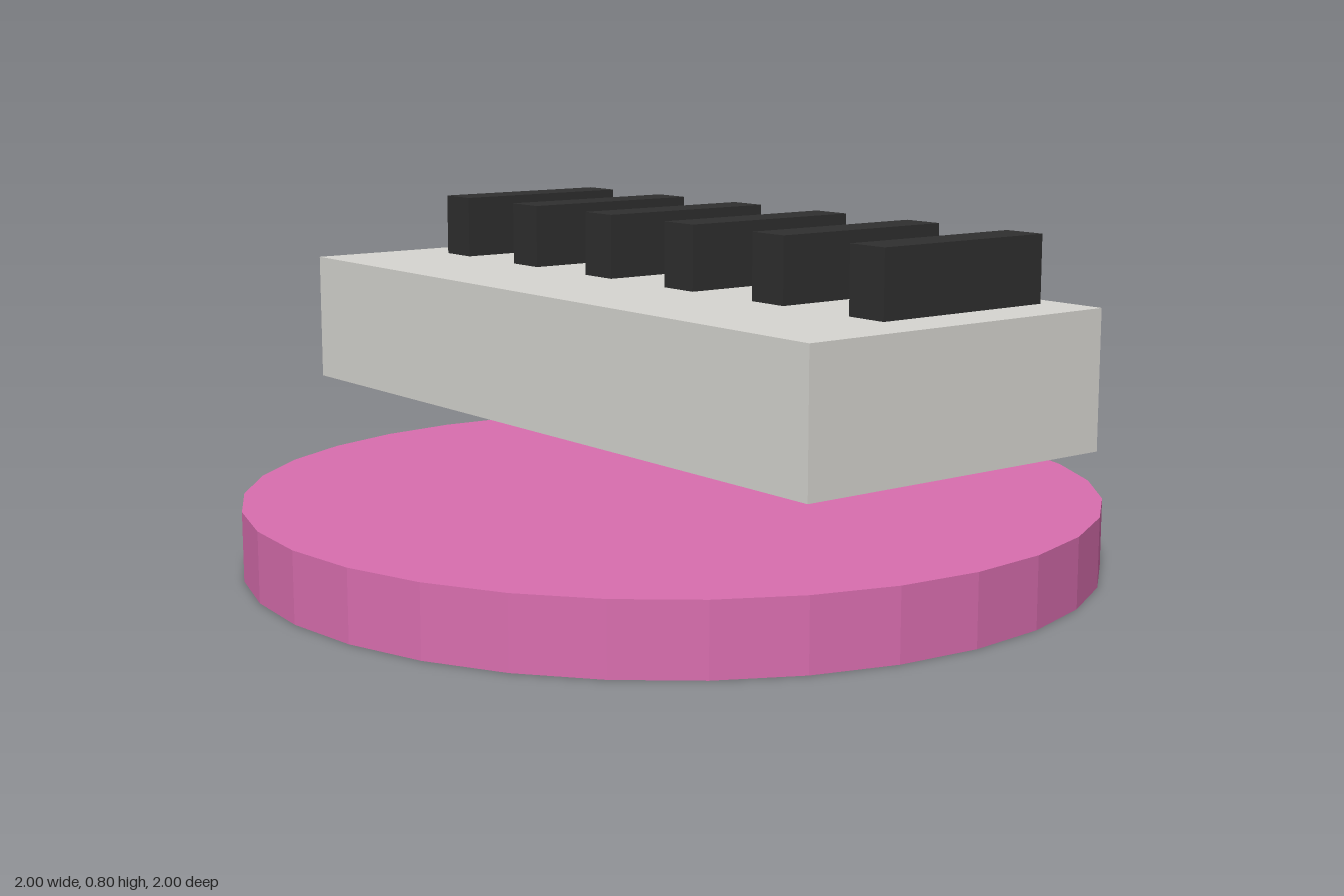
import * as THREE from 'three';

export function createModel() {
  const model = new THREE.Group();
  const pink = new THREE.MeshStandardMaterial({ color: 0xd96eaf, flatShading: true });
  pink.name = 'pink';
  const grey = new THREE.MeshStandardMaterial({ color: 0xd7d6d1 });
  grey.name = 'light grey';
  const black = new THREE.MeshStandardMaterial({ color: 0x2f2f2f });
  black.name = 'black';

  const add = (name, geometry, material, x, y, z) => {
    const mesh = new THREE.Mesh(geometry, material);
    mesh.name = name;
    mesh.position.set(x, y, z);
    model.add(mesh);
  };

  // Round base disc
  add('baseDisc', new THREE.CylinderGeometry(1, 1, 0.16, 32), pink, 0, 0.08, 0);

  // Slab floating above the disc
  add('slab', new THREE.BoxGeometry(1.886, 0.307, 0.816), grey, 0, 0.499, 0);

  // Six raised keys, set towards the back of the slab
  const keyGeometry = new THREE.BoxGeometry(0.102, 0.15, 0.457);
  for (let i = 0; i < 6; i++) {
    add(`key${i + 1}`, keyGeometry, black, (i - 2.5) * 0.307, 0.727, -0.128);
  }
  return model;
}
